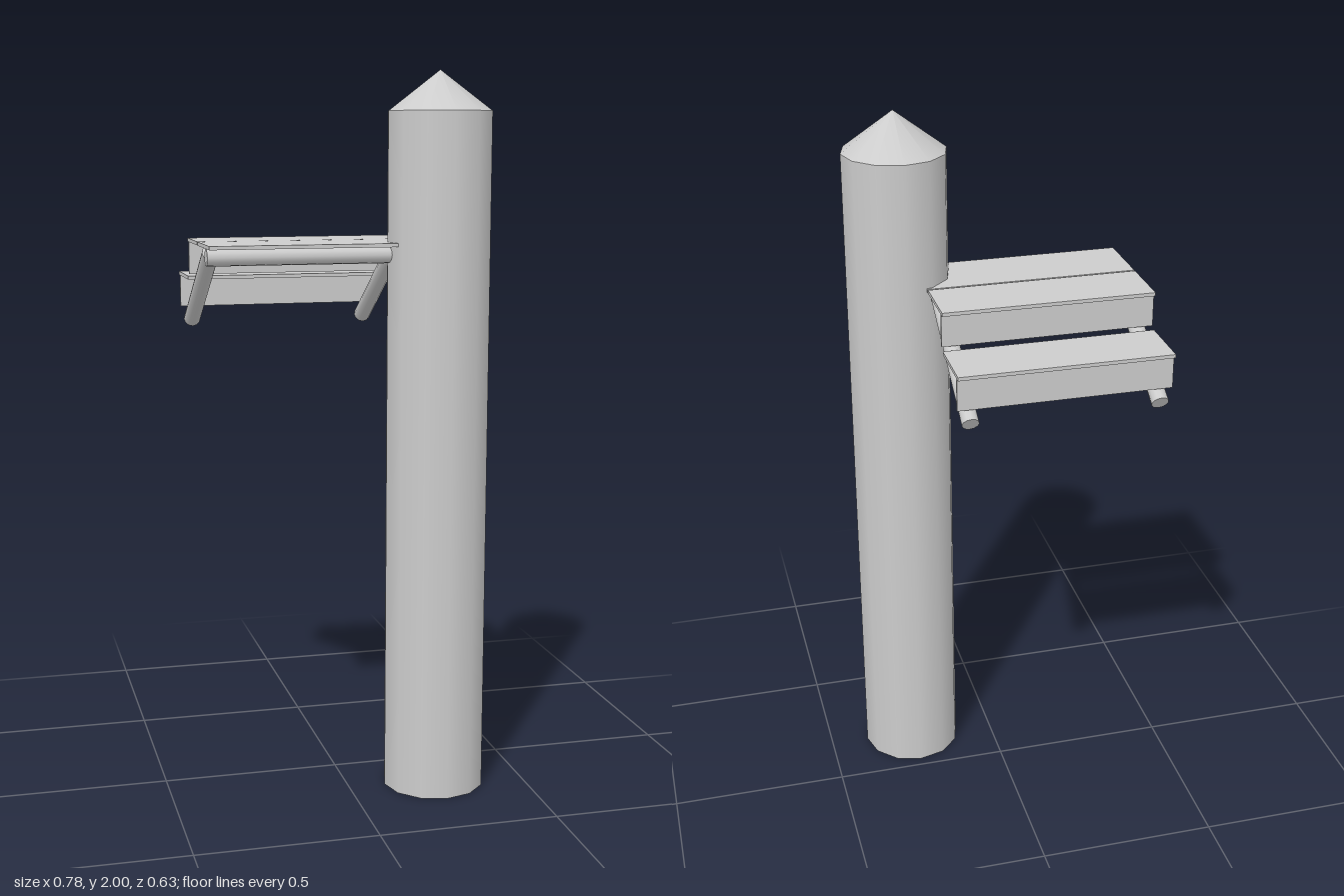
import * as THREE from 'three';

export function createModel() {
  const model = new THREE.Group();
  const grey = new THREE.MeshStandardMaterial({ color: 0xcccccc, side: THREE.DoubleSide });
  grey.name = 'concrete grey';

  const add = (name, geometry, x, y, z) => {
    const mesh = new THREE.Mesh(geometry, grey);
    mesh.name = name;
    mesh.position.set(x, y, z);
    model.add(mesh);
    return mesh;
  };

  // Round rod between two points
  const rod = (name, a, b, radius) => {
    const dir = b.clone().sub(a);
    const mid = a.clone().add(b).multiplyScalar(0.5);
    const mesh = add(name, new THREE.CylinderGeometry(radius, radius, dir.length(), 12), mid.x, mid.y, mid.z);
    mesh.quaternion.setFromUnitVectors(new THREE.Vector3(0, 1, 0), dir.normalize());
  };

  // Flat board given by its z and y limits, spanning the stair width
  const xMin = -0.391, xMax = 0.192;
  const board = (name, z0, z1, y0, y1) =>
    add(name, new THREE.BoxGeometry(xMax - xMin, y1 - y0, z1 - z0),
      (xMin + xMax) / 2, (y0 + y1) / 2, (z0 + z1) / 2);

  // Hollow central column with its pointed cap
  const poleX = 0.247, poleZ = 0.171, poleR = 0.143, shaftTop = 1.892;
  add('column', new THREE.CylinderGeometry(poleR, poleR, shaftTop, 12, 1, true), poleX, shaftTop / 2, poleZ);
  add('columnCap', new THREE.ConeGeometry(poleR, 2 - shaftTop, 12, 1, true), poleX, (2 + shaftTop) / 2, poleZ);

  // Landing carried by a beam from the column
  board('landing', 0.037, 0.226, 1.535, 1.545);
  rod('landingBeam', new THREE.Vector3(poleX, 1.512, poleZ), new THREE.Vector3(xMin, 1.512, poleZ), 0.0235);

  // Two steps: tread with a riser set back under its rear edge
  for (const [zFront, zBack, top] of [[0.031, -0.139, 1.545], [-0.139, -0.311, 1.438]]) {
    board('tread', zBack, zFront, top - 0.01, top);
    board('riser', zBack + 0.013, zBack + 0.021, top - 0.1, top - 0.01);
  }

  // Sloping stringers under the steps
  for (const x of [-0.357, 0.158]) {
    rod('stringer', new THREE.Vector3(x, 1.515, 0.044), new THREE.Vector3(x, 1.299, -0.302), 0.0235);
  }

  return model;
}
